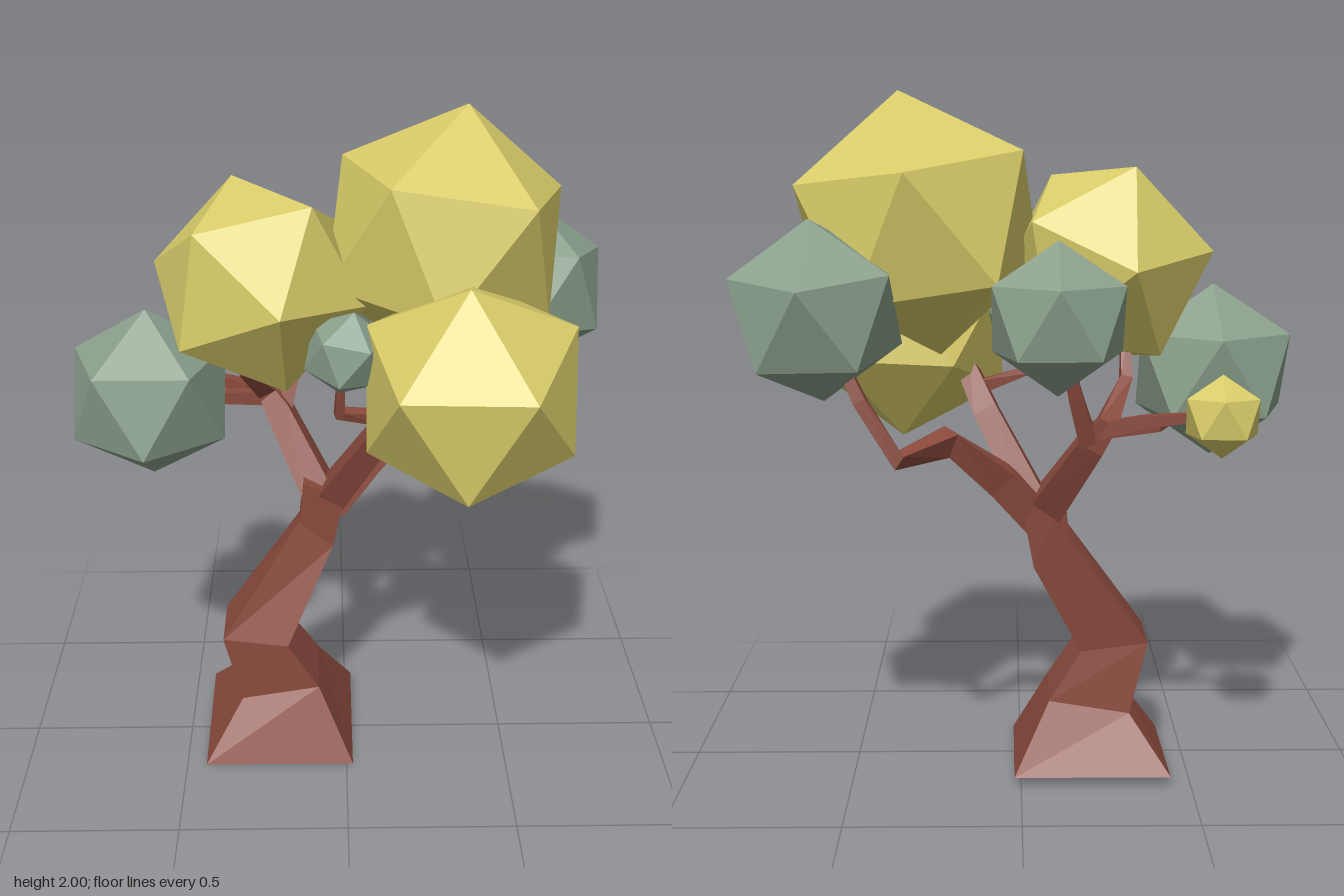
import * as THREE from 'three';

const V = (x, y, z) => new THREE.Vector3(x, y, z);
const material = (color) => new THREE.MeshStandardMaterial({ color, flatShading: true });

// Four corners, counter-clockwise around the direction of growth
const CORNERS = [[1, 1], [-1, 1], [-1, -1], [1, -1]];

// Closed four-sided solid through a list of rings
function loft(rings) {
  const pos = [];
  const quad = (a, b, c, d) => [a, b, c, a, c, d].forEach((p) => pos.push(p.x, p.y, p.z));
  for (let k = 0; k < rings.length - 1; k++) {
    for (let i = 0; i < 4; i++) {
      const j = (i + 1) % 4;
      quad(rings[k][i], rings[k][j], rings[k + 1][j], rings[k + 1][i]);
    }
  }
  const end = rings[rings.length - 1];
  quad(end[0], end[1], end[2], end[3]);
  quad(rings[0][3], rings[0][2], rings[0][1], rings[0][0]);
  const g = new THREE.BufferGeometry();
  g.setAttribute('position', new THREE.Float32BufferAttribute(pos, 3));
  g.computeVertexNormals();
  return g;
}

// Trunk ring: centre, half sizes, and the tilt in height along x and z
const trunkRing = ([x, y, z, hx, hz, tx, tz]) =>
  CORNERS.map(([u, v]) => V(x + v * hx, y + v * tx + u * tz, z + u * hz));

// Square tapered branch along points [x, y, z, half width]
function branch(path) {
  const pts = path.map((p) => V(p[0], p[1], p[2]));
  const span = pts[pts.length - 1].clone().sub(pts[0]);
  const size = span.toArray().map(Math.abs);
  const ref = V(0, 0, 0).setComponent(size.indexOf(Math.min(...size)), 1);
  return loft(pts.map((p, i) => {
    const t = V(0, 0, 0);
    if (i > 0) t.add(p.clone().sub(pts[i - 1]).normalize());
    if (i < pts.length - 1) t.add(pts[i + 1].clone().sub(p).normalize());
    t.normalize();
    const u = ref.clone().cross(t).normalize();
    const v = t.clone().cross(u);
    const h = path[i][3];
    return CORNERS.map(([a, b]) => p.clone().addScaledVector(u, a * h).addScaledVector(v, b * h));
  }));
}

// Icosahedron with one corner along "pole" and the next turned towards "next"
function leafBall(radius, pole, next) {
  const g = new THREE.IcosahedronGeometry(radius, 0);
  g.rotateZ(Math.atan(2 / (1 + Math.sqrt(5))));
  const y = V(...pole).normalize();
  const n = V(...next);
  const x = n.addScaledVector(y, -n.dot(y)).normalize().negate();
  const z = x.clone().cross(y);
  return g.applyMatrix4(new THREE.Matrix4().makeBasis(x, y, z));
}

export function createModel() {
  const model = new THREE.Group();
  const bark = material(0x8a4a3d);
  const yellow = material(0xd9cc69);
  const green = material(0x8ba08c);
  const add = (name, geometry, mat) => {
    const mesh = new THREE.Mesh(geometry, mat);
    mesh.name = name;
    model.add(mesh);
    return mesh;
  };

  // Crooked trunk with a flared foot
  add('trunk', loft([
    [-0.21, 0.015, -0.03, 0.23, 0.227, 0, -0.015],
    [-0.205, 0.2, -0.02, 0.12, 0.115, 0.02, 0],
    [-0.28, 0.38, -0.012, 0.1, 0.1, -0.013, 0],
    [-0.09, 0.69, -0.085, 0.052, 0.055, -0.042, 0.01],
    [-0.065, 0.85, -0.09, 0.062, 0.06, -0.02, 0],
  ].map(trunkRing)), bark);

  // Main branches and the twigs that reach the leaf balls
  const branches = {
    rightBranch: [[-0.07, 0.8, -0.09, 0.05], [-0.2, 1.03, -0.23, 0.038], [-0.24, 1.09, -0.25, 0.028], [-0.3, 1.2, -0.14, 0.017], [-0.3, 1.34, -0.08, 0.012]],
    rightTwig: [[-0.2, 1.07, -0.25, 0.024], [-0.38, 1.08, -0.22, 0.018], [-0.47, 1.08, -0.03, 0.012]],
    backTwig: [[-0.22, 1.07, -0.25, 0.022], [-0.34, 1.1, -0.28, 0.018], [-0.53, 1.13, -0.34, 0.01]],
    backUpTwig: [[-0.19, 1.03, -0.24, 0.026], [-0.15, 1.17, -0.28, 0.02], [-0.12, 1.3, -0.31, 0.014]],
    frontBranch: [[-0.06, 0.78, -0.09, 0.045], [0.1, 1.07, 0.04, 0.036], [0.17, 1.22, 0.12, 0.028], [0.24, 1.3, 0.18, 0.018]],
    frontTwig: [[0.12, 1.14, 0.08, 0.02], [-0.02, 1.18, 0.13, 0.016], [-0.015, 1.32, 0.16, 0.01]],
    leftBranch: [[-0.05, 0.78, -0.09, 0.05], [0.06, 0.9, -0.13, 0.044], [0.21, 1.03, -0.21, 0.035], [0.34, 1.01, -0.36, 0.022], [0.44, 1.17, -0.34, 0.018], [0.5, 1.3, -0.32, 0.014]],
  };
  for (const [name, path] of Object.entries(branches)) add(name, branch(path), bark);

  // Leaf balls: name, colour, centre, radius, pole, neighbouring corner
  const leaves = [
    ['leavesTop', yellow, [0.285, 1.63, -0.09], 0.375, [0.055, 0.37, -0.015], [0, 0, -1]],
    ['leavesRightTop', yellow, [-0.245, 1.515, -0.02], 0.315, [-0.077, 0.285, -0.13], [-0.28, 0.045, -0.075]],
    ['leavesFront', yellow, [0.338, 1.298, 0.25], 0.336, [-0.02, 0.322, 0.095], [0.28, 0.19, -0.01]],
    ['leavesRight', green, [-0.567, 1.2, 0.022], 0.255, [0, 1, 0], [0, 0, -1]],
    ['leavesLeft', green, [0.555, 1.41, -0.31], 0.255, [0.01, 0.25, -0.04], [0.22, 0.065, -0.065]],
    ['leavesBack', green, [-0.1, 1.39, -0.32], 0.212, [0, 1, 0], [0, 0, -1]],
    ['leavesSmallFront', green, [0, 1.375, 0.165], 0.125, [0.02, 0.12, 0.01], [0.1, 0, -1]],
    ['leavesSmallBack', yellow, [-0.545, 1.13, -0.365], 0.115, [0, 1, 0.05], [0.08, 0, -1]],
  ];
  for (const [name, mat, centre, radius, pole, next] of leaves) {
    add(name, leafBall(radius, pole, next), mat).position.set(...centre);
  }
  return model;
}
